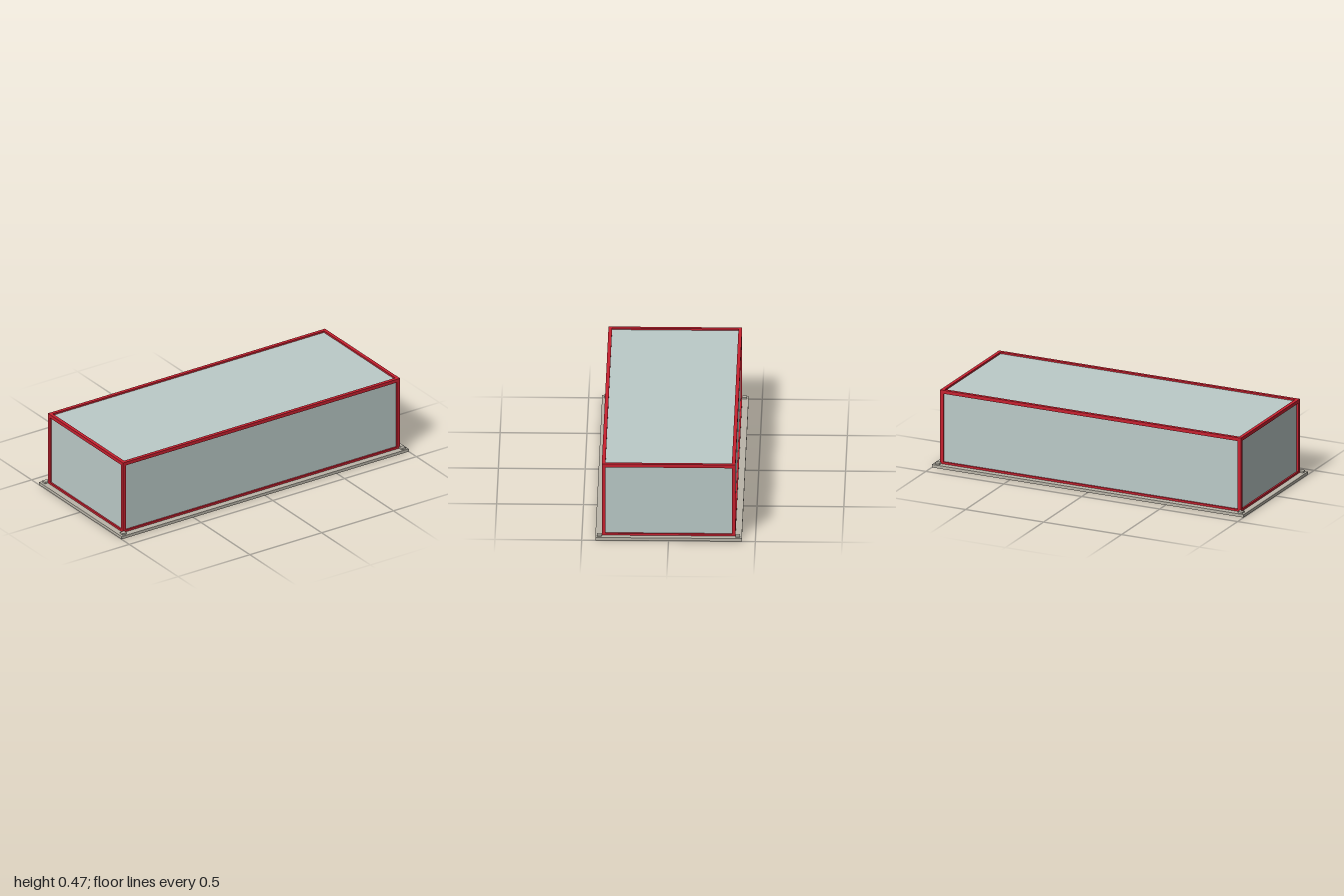
import * as THREE from 'three';

export function createModel() {
  const model = new THREE.Group();
  const paint = (name, color) => {
    const m = new THREE.MeshStandardMaterial({ color });
    m.name = name;
    return m;
  };
  const red = paint('red frame', 0xc8202f);
  const grey = paint('pale panel', 0xbccbc9);
  const stone = paint('stone base', 0xbab5a9);

  // Box given by its minimum and maximum corners
  const box = (name, material, [x0, y0, z0], [x1, y1, z1]) => {
    const mesh = new THREE.Mesh(new THREE.BoxGeometry(x1 - x0, y1 - y0, z1 - z0), material);
    mesh.position.set((x0 + x1) / 2, (y0 + y1) / 2, (z0 + z1) / 2);
    mesh.name = name;
    model.add(mesh);
  };

  const X = 0.965, Z = 0.385, T = 0.021; // frame half sizes and bar width
  const floor = 0.018, low = 0.03, top = 0.467;
  const inset = 0.01;

  // Base slab and recessed body
  box('base', stone, [-1, 0, -0.422], [1, floor, 0.422]);
  box('body', grey, [-X + inset, floor, -Z + inset], [X - inset, top - inset, Z - inset]);

  // Bars centred on the frame edges
  const x = X - T / 2, z = Z - T / 2, h = T / 2;
  for (const sx of [-1, 1]) {
    for (const sz of [-1, 1]) {
      box('cornerPost', red, [sx * x - h, floor, sz * z - h], [sx * x + h, top, sz * z + h]);
      // Small pad on the base outside each corner
      const px = sx * 0.972, pz = sz * 0.3985;
      box('cornerPad', stone, [px - 0.014, floor, pz - 0.0135], [px + 0.014, 0.028, pz + 0.0135]);
    }
  }

  // Lower and upper rails between the posts
  for (const [name, y0, y1] of [['lowerRail', floor, low], ['upperRail', top - T, top]]) {
    for (const s of [-1, 1]) {
      box(name, red, [-X + T, y0, s * z - h], [X - T, y1, s * z + h]);
      box(name, red, [s * x - h, y0, -Z + T], [s * x + h, y1, Z - T]);
    }
  }
  return model;
}
